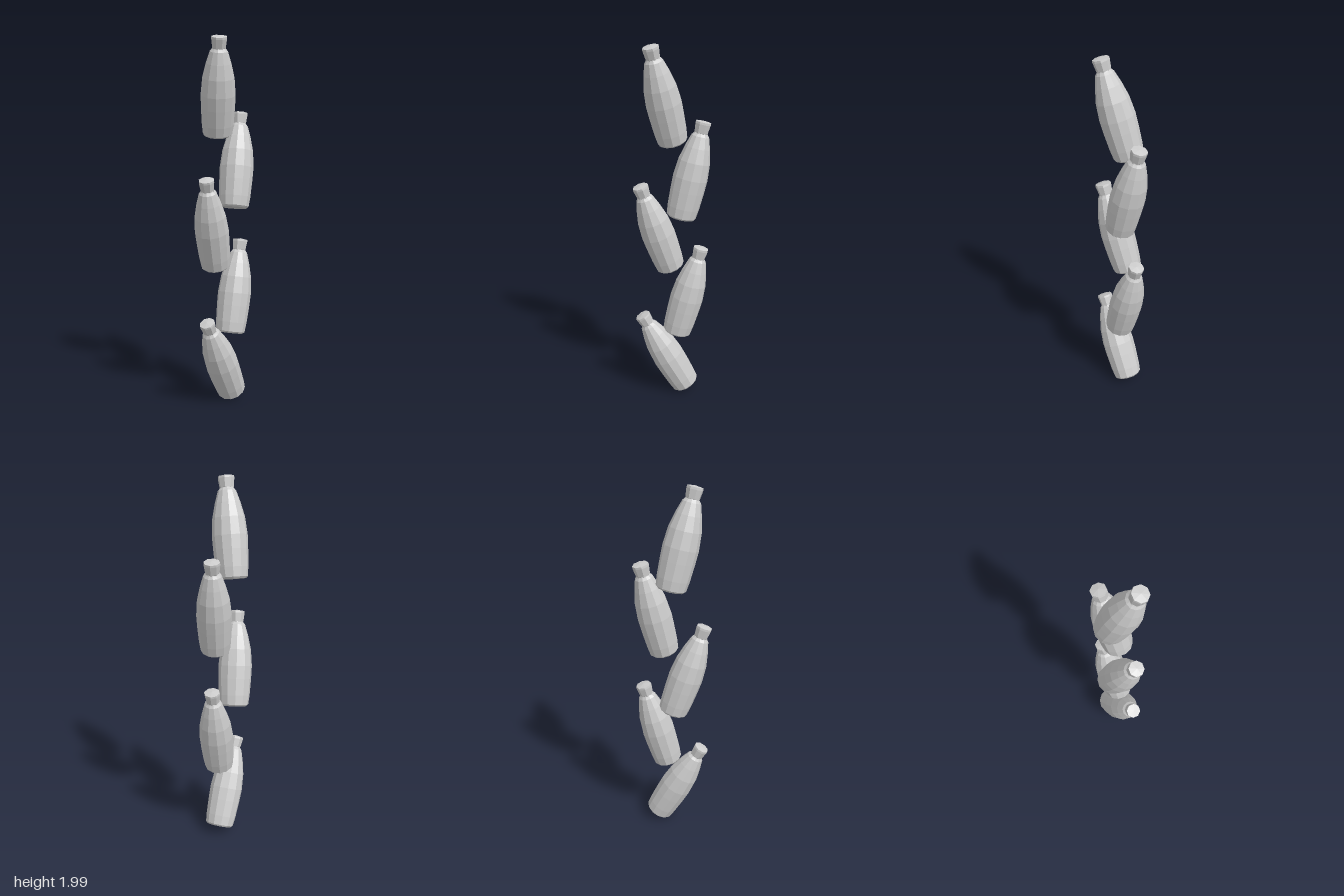
import * as THREE from 'three';

const material = new THREE.MeshStandardMaterial({ color: 0xcccccc, flatShading: true });
const LENGTH = 0.525;

// radius, height along the bottle axis
const BODY = [[0, 0], [0.07, 0], [0.079, 0.009], [0.085, 0.06], [0.09, 0.15], [0.092, 0.22],
  [0.084, 0.31], [0.066, 0.385], [0.047, 0.445], [0.038, 0.456], [0.034, 0.462]];
const CAP = [[0.034, 0.455], [0.037, 0.462], [0.043, 0.508], [0.042, 0.519], [0, LENGTH]];

// top centre and base centre of each bottle, from the highest down
const BOTTLES = [
  { top: [-0.07, 1.985, 0.092], base: [-0.02, 1.487, -0.045] },
  { top: [0.137, 1.602, -0.092], base: [0.055, 1.087, 0.003] },
  { top: [-0.143, 1.262, 0.09], base: [-0.032, 0.765, -0.045] },
  { top: [0.137, 0.903, -0.086], base: [0.033, 0.395, 0.004] },
  { top: [-0.143, 0.498, 0.09], base: [0.066, 0.04, -0.045] },
];

function lathe(name, profile, sides) {
  const points = profile.map(([r, h]) => new THREE.Vector2(r, h));
  const mesh = new THREE.Mesh(new THREE.LatheGeometry(points, sides), material);
  mesh.name = name;
  return mesh;
}

function bottle() {
  const group = new THREE.Group();
  group.add(lathe('bottleBody', BODY, 12), lathe('bottleCap', CAP, 8));
  return group;
}

export function createModel() {
  const model = new THREE.Group();
  model.name = 'stackedBottles';
  const up = new THREE.Vector3(0, 1, 0);
  BOTTLES.forEach(({ top, base }, i) => {
    // tilt each bottle along its axis, anchored at the cap
    const end = new THREE.Vector3(...top);
    const axis = end.clone().sub(new THREE.Vector3(...base)).normalize();
    const b = bottle();
    b.name = `bottle${i + 1}`;
    b.quaternion.setFromUnitVectors(up, axis);
    b.position.copy(end).addScaledVector(axis, -LENGTH);
    model.add(b);
  });
  return model;
}
